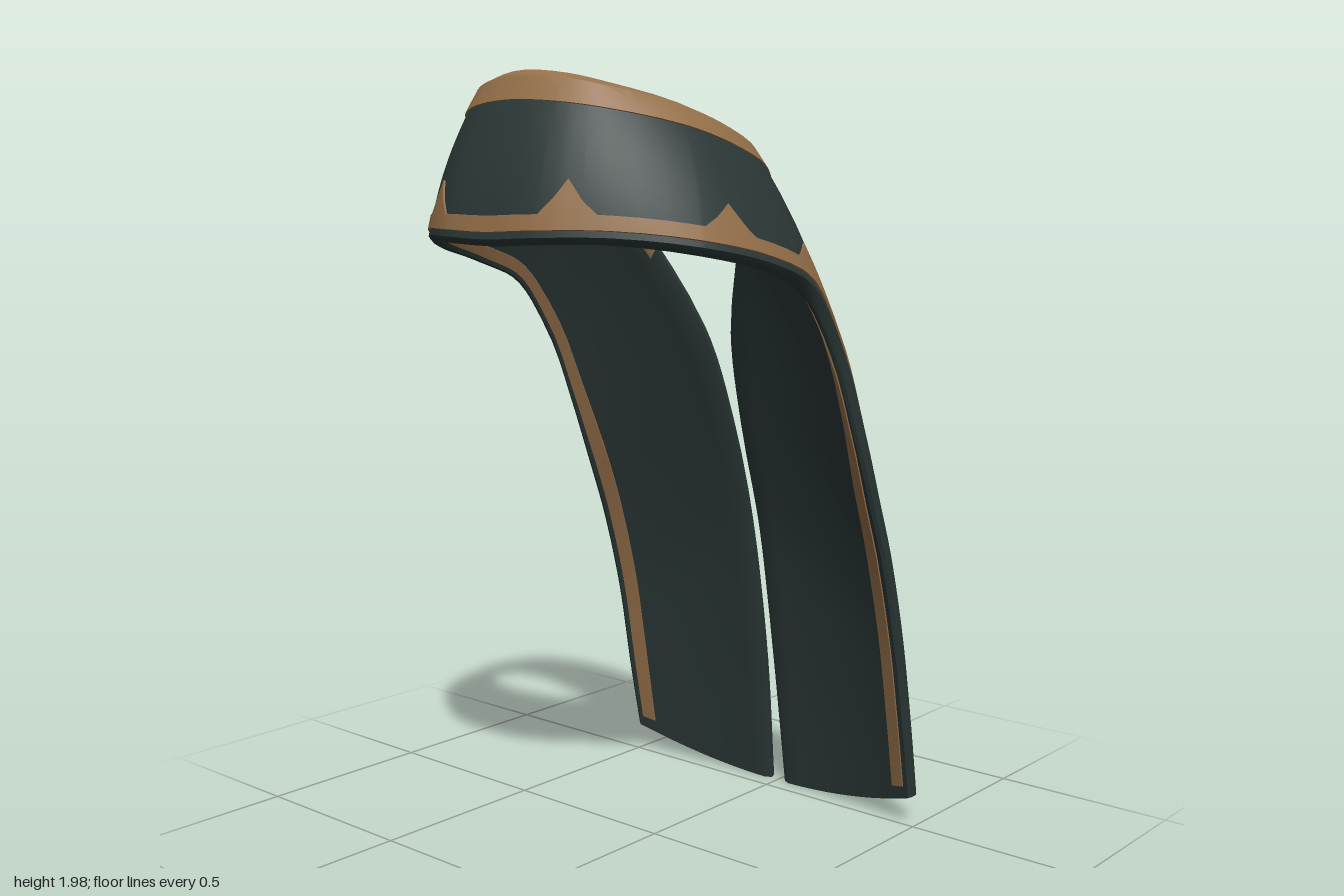
import * as THREE from 'three';
import { toCreasedNormals } from 'three/addons/utils/BufferGeometryUtils.js';

const THICK = 0.036;

// Neck-side and outer edges from front centre to tail tip (left half)
const innerHalf = [
  [0, 1.985, 0.475], [0.12, 1.975, 0.455], [0.21, 1.955, 0.405], [0.31, 1.915, 0.27],
  [0.345, 1.865, 0.13], [0.32, 1.815, 0], [0.245, 1.715, -0.11], [0.17, 1.59, -0.185],
  [0.07, 1.35, -0.285], [0.04, 1.1, -0.37], [0.037, 0.8, -0.46], [0.037, 0.4, -0.535], [0.045, 0.02, -0.585],
];
const outerHalf = [
  [0, 1.615, 0.59], [0.14, 1.62, 0.58], [0.3, 1.62, 0.49], [0.44, 1.6, 0.35],
  [0.5, 1.56, 0.16], [0.5, 1.5, 0], [0.496, 1.33, -0.14], [0.494, 1.12, -0.24],
  [0.492, 0.95, -0.31], [0.492, 0.78, -0.375], [0.492, 0.55, -0.44], [0.493, 0.3, -0.49], [0.49, 0.1, -0.53],
];
const LAST = innerHalf.length - 1;

function mirroredCurve(half) {
  const left = half.map((p) => new THREE.Vector3(...p));
  const right = half.slice(1).reverse().map(([x, y, z]) => new THREE.Vector3(-x, y, z));
  return new THREE.CatmullRomCurve3([...right, ...left]);
}
const innerEdge = mirroredCurve(innerHalf);
const outerEdge = mirroredCurve(outerHalf);

// Face of the cloth: u runs tail to tail (-1..1), v from neck edge to outer edge
function face(u, v) {
  const t = THREE.MathUtils.clamp((u + 1) / 2, 0, 1);
  const p = innerEdge.getPoint(t).lerp(outerEdge.getPoint(t), v);
  p.y -= 0.09 * v * (1 - v) * Math.abs(u) ** 14;
  return p;
}

function normalAt(u) {
  const e = 0.01;
  const along = face(Math.min(u + e, 1), 0.5).sub(face(Math.max(u - e, -1), 0.5));
  return along.cross(face(u, 0).sub(face(u, 1))).normalize();
}

// Point in the cloth: w is depth, 0 on the outside and 1 on the lining
function cloth(u, v, w) {
  return face(u, v).addScaledVector(normalAt(u), 0.07 * v * (1 - v) - THICK * w);
}

function grid(rows, cols, pointAt) {
  const pos = [];
  const index = [];
  for (let i = 0; i < rows; i++) {
    for (let j = 0; j < cols; j++) {
      pos.push(...pointAt(i, j).toArray());
      if (i + 1 < rows && j + 1 < cols) {
        const a = i * cols + j;
        const d = a + cols;
        index.push(a, a + 1, d + 1, a, d + 1, d);
      }
    }
  }
  const geo = new THREE.BufferGeometry();
  geo.setAttribute('position', new THREE.Float32BufferAttribute(pos, 3));
  geo.setIndex(index);
  return toCreasedNormals(geo, 0.6);
}

// Sweep a section, given as [v, w] pairs for each u, along the stole
function sweep(us, sectionAt) {
  const sections = us.map(sectionAt);
  return grid(us.length, sections[0].length, (i, j) => cloth(us[i], ...sections[i][j]));
}

// Points of the trim, evenly spaced along each half
const spikes = [1.45, 3.4, 5.0, 6.55, 8.5, 9.95, 11.2].map((k) => {
  const u = k / LAST;
  const speed = cloth(u + 0.01, 0.9, 0).distanceTo(cloth(u - 0.01, 0.9, 0)) / 0.02;
  return { u, half: 0.07 / speed };
});

// Shared rows, with extra ones on the trim points
const TRIM_END = 0.985;
const NECK_END = 7.1 / LAST;
const halfRows = [TRIM_END, NECK_END, 1];
for (let i = 1; i < 36; i++) halfRows.push(i / 36);
for (const s of spikes) for (const t of [-1, -0.5, 0, 0.5, 1]) halfRows.push(s.u + t * s.half);
const positive = halfRows.filter((u) => u <= 1).sort((a, b) => a - b)
  .filter((u, i, list) => i === 0 || u - list[i - 1] > 1e-5);
const rows = [...positive.map((u) => -u).reverse(), 0, ...positive];
const upTo = (end) => rows.filter((u) => Math.abs(u) <= end + 1e-6);

function trimTop(u) {
  const a = Math.abs(u);
  let v = 0.865;
  for (const s of spikes) {
    const h = Math.max(0, 1 - Math.abs(a - s.u) / s.half) ** 1.25;
    v -= h * THREE.MathUtils.lerp(0.24, 0.13, Math.min(1, a * 1.6));
  }
  return v;
}

export function createModel() {
  const group = new THREE.Group();
  const darkCloth = new THREE.MeshStandardMaterial({ color: 0x2b3837 });
  darkCloth.name = 'darkCloth';
  const goldTrim = new THREE.MeshStandardMaterial({ color: 0x95704a });
  goldTrim.name = 'goldTrim';
  const add = (name, geo, mat) => {
    const mesh = new THREE.Mesh(geo, mat);
    mesh.name = name;
    group.add(mesh);
  };

  // Cloth body: outside, bevelled outer hem, lining, bevelled neck hem
  const steps = Array.from({ length: 11 }, (_, i) => i / 10);
  const body = [
    ...steps.map((v) => [v, 0]), [1.02, 0.35], [1.02, 0.75],
    ...steps.map((v) => [1 - v, 1]), [-0.04, 0.75], [-0.04, 0.35], [0, 0],
  ];
  add('stoleCloth', sweep(rows, () => body), darkCloth);

  // Ends of the two tails
  const capSteps = [-0.04, ...steps, 1.02];
  for (const side of [-1, 1]) {
    const cap = grid(capSteps.length, 2, (i, j) => {
      const v = capSteps[i];
      const range = v < 0 || v > 1 ? [0.35, 0.75] : [0, 1];
      return cloth(side, v, range[side > 0 ? 1 - j : j]);
    });
    add(side > 0 ? 'leftTailEnd' : 'rightTailEnd', cap, darkCloth);
  }

  // Gold binding around the neck opening, narrowing to the back
  add('neckBinding', sweep(upTo(NECK_END), (u) => {
    const taper = THREE.MathUtils.smoothstep(Math.abs(u), 0.36, NECK_END);
    const v = THREE.MathUtils.lerp(0.16, 0.05, taper);
    return [
      [0.02, 0.98], [0.02, 1.12], [0, 1.12], [-0.05, 0.78], [-0.05, 0.32],
      [0, -0.13], [v / 2, -0.13], [v, -0.13], [v, 0.02],
    ];
  }), goldTrim);

  // Pointed gold trim along the outer edge
  add('pointedTrim', sweep(upTo(TRIM_END), (u) => {
    const v = trimTop(u);
    return [[v, 0.05], [v, -0.14], [(v + 0.96) / 2, -0.14], [0.96, -0.14], [0.96, 0.05]];
  }), goldTrim);

  // Straight gold stripe on the lining
  add('liningStripe', sweep(upTo(TRIM_END), () => [
    [0.965, 0.95], [0.965, 1.12], [0.875, 1.12], [0.875, 0.95],
  ]), goldTrim);

  return group;
}
